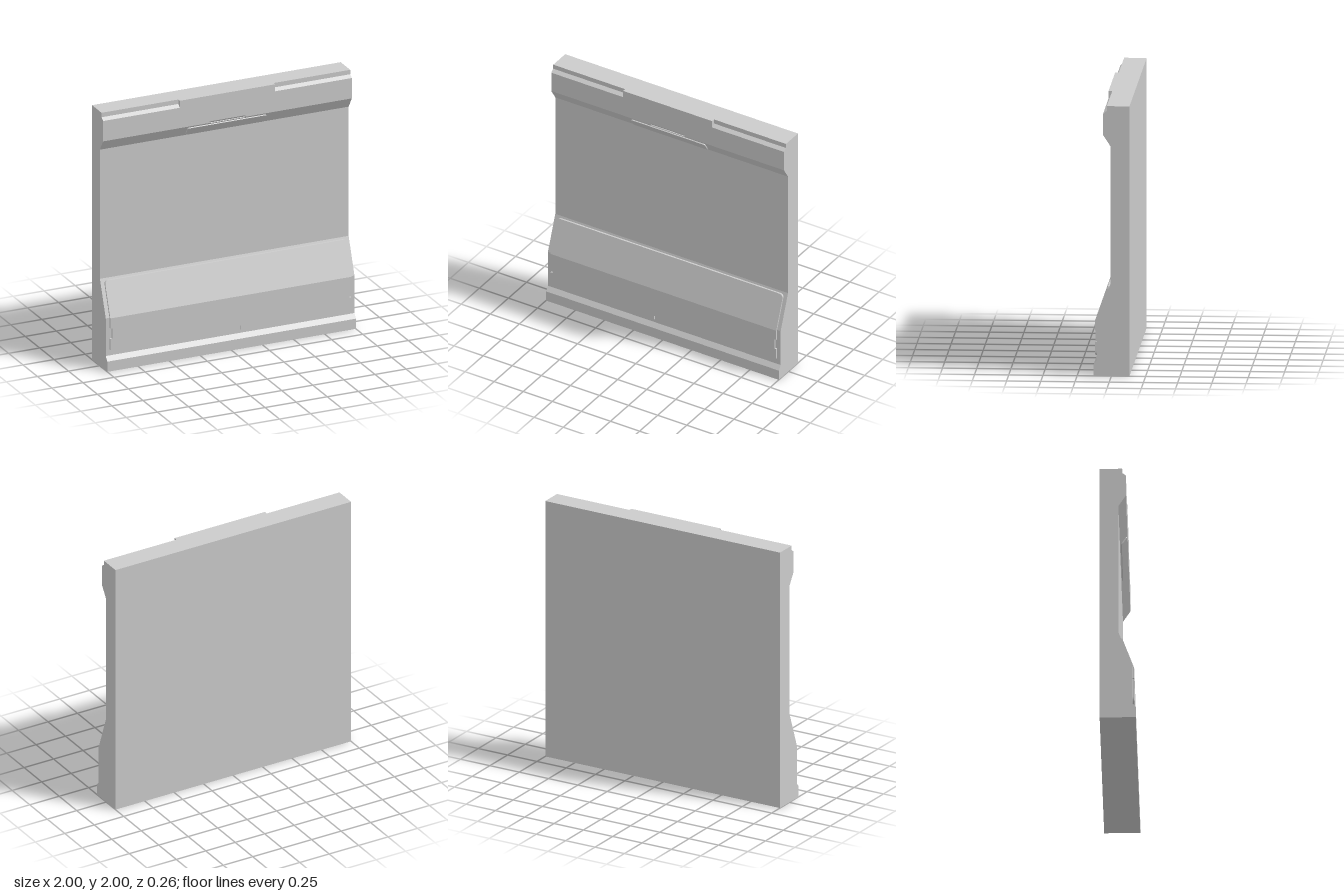
import * as THREE from 'three';

const material = new THREE.MeshStandardMaterial({ color: 0xcccccc, flatShading: true });

function addMesh(parent, name, geometry) {
  const mesh = new THREE.Mesh(geometry, material);
  mesh.name = name;
  parent.add(mesh);
  return mesh;
}

// Side profile as [z, y] points; the underside edge and the top edge vary along the width
function profile(lip, top) {
  return new THREE.Shape([
    [-0.132, 0], [0.132, 0], [0.132, 0.08], [0.106, 0.115], [0.106, 0.41],
    [0.005, 0.685], [0.005, 1.70], ...lip, ...top, [-0.132, 2],
  ].map(([z, y]) => new THREE.Vector2(z, y)));
}

// Sweep a side profile across the width from x0 to x1
function slice(shape, x0, x1) {
  const g = new THREE.ExtrudeGeometry(shape, { depth: x1 - x0, bevelEnabled: false });
  return g.rotateY(-Math.PI / 2).translate(x1, 0, 0);
}

// Upper part of the cover, with two rounded corners
function coverTop(w, y0, y1, r) {
  const s = new THREE.Shape();
  s.moveTo(-w, y0);
  s.lineTo(w, y0);
  s.lineTo(w, y1 - r);
  s.quadraticCurveTo(w, y1, w - r, y1);
  s.lineTo(-w + r, y1);
  s.quadraticCurveTo(-w, y1, -w, y1 - r);
  s.closePath();
  return s;
}

// Lower part of the cover, with side notches and a finger notch at the bottom
function coverBottom(w, y0, y1, r) {
  const s = new THREE.Shape();
  const n = w - 0.016;
  s.moveTo(-w + r, y0);
  for (const [x, y] of [[-0.078, y0], [-0.078, 0.178], [0.078, 0.178], [0.078, y0], [w - r, y0]]) s.lineTo(x, y);
  s.quadraticCurveTo(w, y0, w, y0 + r);
  for (const [x, y] of [[w, 0.25], [n, 0.25], [n, 0.33], [w, 0.33], [w, y1],
    [-w, y1], [-w, 0.33], [-n, 0.33], [-n, 0.25], [-w, 0.25], [-w, y0 + r]]) s.lineTo(x, y);
  s.quadraticCurveTo(-w, y0, -w + r, y0);
  return s;
}

// Slab that leans back above the bend
function coverSlab(shape, bend) {
  const g = new THREE.ExtrudeGeometry(shape, { depth: 0.017, bevelEnabled: false, curveSegments: 6 });
  const p = g.attributes.position;
  for (let i = 0; i < p.count; i++) {
    p.setZ(i, p.getZ(i) + 0.103 - Math.max(0, p.getY(i) - bend) * 0.367);
  }
  g.computeVertexNormals();
  return g;
}

export function createModel() {
  const group = new THREE.Group();
  group.name = 'wallPanel';

  // Body slices: notched outer ends, plain spans, and a centre with a small slit
  const lip = [[0.06, 1.785]];
  const slit = [[0.058, 1.782], [0.052, 1.785], [0.06, 1.797]];
  const plainTop = [[0.06, 2]];
  const notchedTop = [[0.06, 1.945], [0.033, 1.965], [0.033, 2]];
  const body = new THREE.Group();
  body.name = 'body';
  group.add(body);
  addMesh(body, 'rightEnd', slice(profile(lip, notchedTop), -1, -0.383));
  addMesh(body, 'rightSpan', slice(profile(lip, plainTop), -0.383, -0.145));
  addMesh(body, 'centre', slice(profile(slit, plainTop), -0.145, 0.145));
  addMesh(body, 'leftSpan', slice(profile(lip, plainTop), 0.145, 0.383));
  addMesh(body, 'leftEnd', slice(profile(lip, notchedTop), 0.383, 1));

  // Raised cover folded over the lower ledge
  const cover = new THREE.Group();
  cover.name = 'lowerCover';
  group.add(cover);
  addMesh(cover, 'coverFace', coverSlab(coverBottom(0.97, 0.145, 0.41, 0.03), 0.41));
  addMesh(cover, 'coverSlope', coverSlab(coverTop(0.97, 0.41, 0.67, 0.03), 0.41));

  // Thin plate on the underside of the upper ledge
  const w = 0.318, h = 0.038, r = 0.015;
  const plate = new THREE.Shape();
  plate.moveTo(-w + r, -h);
  plate.lineTo(w - r, -h);
  plate.quadraticCurveTo(w, -h, w, -h + r);
  plate.lineTo(w, h - r);
  plate.quadraticCurveTo(w, h, w - r, h);
  plate.lineTo(-w + r, h);
  plate.quadraticCurveTo(-w, h, -w, h - r);
  plate.lineTo(-w, -h + r);
  plate.quadraticCurveTo(-w, -h, -w + r, -h);
  const latch = addMesh(group, 'underLedgePlate',
    new THREE.ExtrudeGeometry(plate, { depth: 0.009, bevelEnabled: false, curveSegments: 6 }));
  latch.rotation.x = Math.atan2(0.055, 0.085);
  latch.position.set(0, 1.742, 0.0315);

  return group;
}
